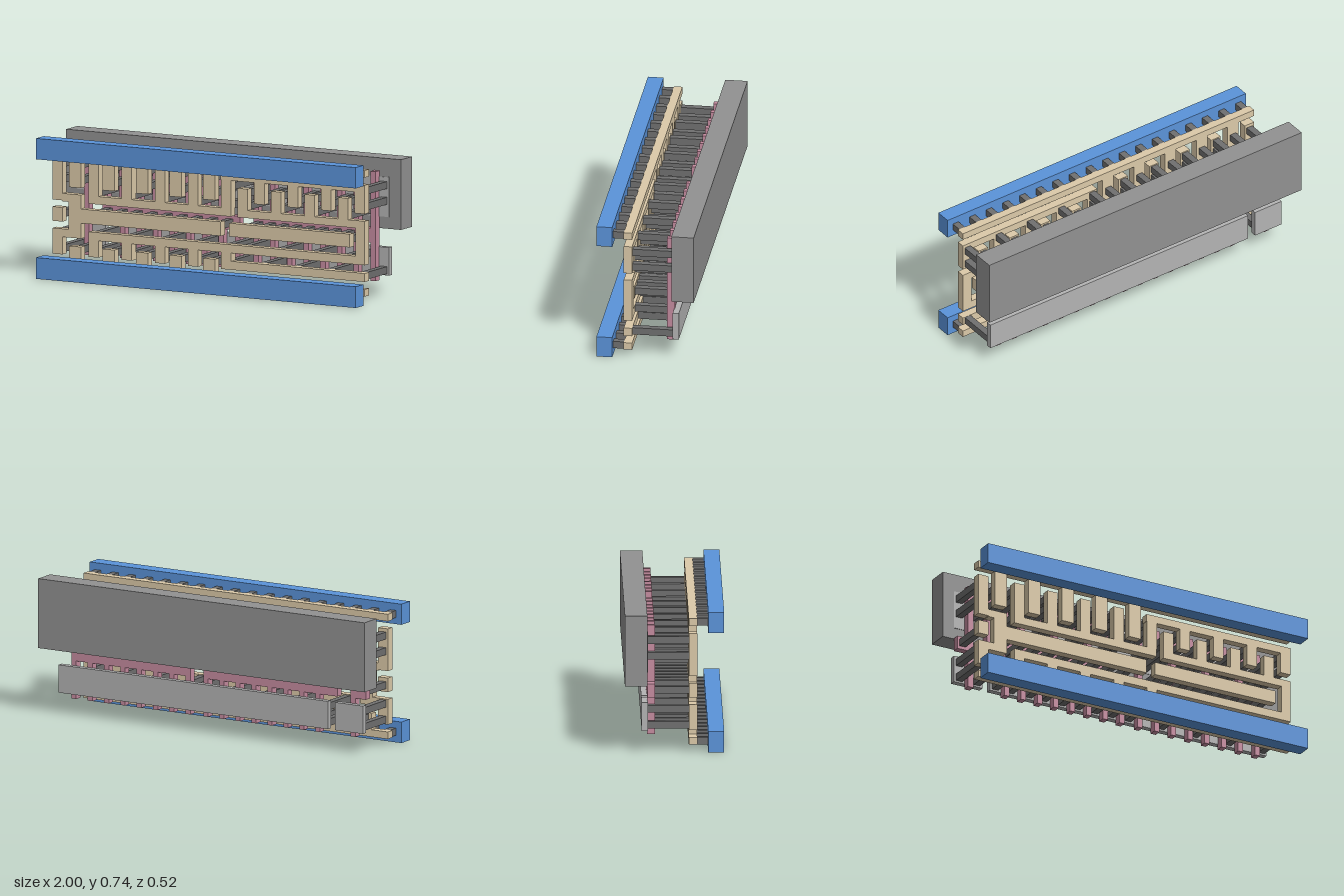
import * as THREE from 'three';

const colors = { metal: 0x5b94da, local: 0xdccaa9, poly: 0xc68ca0, contact: 0x707070, well: 0x929292, diffusion: 0xb4b4b4 };
const mats = {};
for (const k in colors) mats[k] = new THREE.MeshStandardMaterial({ color: colors[k] });

// Depth range (z) of each layer
const depth = {
  metal: [0.177, 0.26], local: [0.076, 0.12], poly: [-0.14, -0.1],
  well: [-0.257, -0.14], diffusion: [-0.169, -0.137],
};

export function createModel() {
  const root = new THREE.Group();
  const groups = {};
  function box(group, layer, x0, x1, y0, y1, z = depth[layer]) {
    if (!groups[group]) {
      groups[group] = new THREE.Group();
      groups[group].name = group;
      root.add(groups[group]);
    }
    const m = new THREE.Mesh(new THREE.BoxGeometry(x1 - x0, y1 - y0, z[1] - z[0]), mats[layer]);
    m.position.set((x0 + x1) / 2, (y0 + y1) / 2, (z[0] + z[1]) / 2);
    m.name = group;
    groups[group].add(m);
  }
  // Vertical bar around a centre line
  const post = (group, layer, x, w, y0, y1) => box(group, layer, x - w / 2, x + w / 2, y0, y1);
  const contact = (group, x, y, z0, z1) =>
    box(group, 'contact', x - 0.018, x + 0.018, y - 0.019, y + 0.019, [z0, z1]);
  const toDiffusion = (x, ...ys) => ys.forEach((y) => contact('diffusionContact', x, y, -0.137, 0.076));
  const toPoly = (x) => contact('gateContact', x, 0.324, -0.1, 0.076);

  // Front power rails, their rear strips and the pegs between
  box('powerRail', 'metal', -0.955, 0.955, 0, 0.112);
  box('powerRail', 'metal', -0.955, 0.955, 0.63, 0.74);
  box('railStrip', 'local', -0.935, 0.93, 0.038, 0.076);
  box('railStrip', 'local', -0.935, 0.93, 0.665, 0.703);
  for (let i = 0; i < 18; i++) {
    const x = -0.905 + i * 0.1064;
    contact('railPeg', x, 0.057, 0.12, 0.177);
    contact('railPeg', x, 0.684, 0.12, 0.177);
  }

  // Back slab and the thin plates
  box('backSlab', 'well', -1, 1, 0.358, 0.728);
  for (const [a, b] of [[-0.935, -0.765], [-0.72, 0.93]]) {
    box('lowerPlate', 'diffusion', a, b, 0.112, 0.26);
    box('upperPlate', 'diffusion', a, b, 0.42, 0.63);
  }

  // Output path at the left end of the front
  post('outputPath', 'local', -0.905, 0.06, 0.4, 0.625);
  post('outputPath', 'local', -0.905, 0.06, 0.115, 0.25);
  box('outputPath', 'local', -0.875, -0.84, 0.395, 0.437);
  box('outputPath', 'local', -0.875, -0.84, 0.207, 0.25);
  box('outputPath', 'local', -0.84, -0.765, 0.207, 0.437);
  box('inputBar', 'local', -0.765, 0.07, 0.288, 0.363);
  box('inputBar', 'local', 0.12, 0.84, 0.29, 0.36);
  box('inputStub', 'local', -0.935, -0.875, 0.288, 0.363);
  toDiffusion(-0.905, 0.14, 0.225, 0.505, 0.588);

  // Fingers reaching from the rail strips
  for (const x of [-0.8, -0.6, -0.4, -0.2, 0]) {
    post('railFinger', 'local', x, 0.07, 0.473, 0.665);
    post('railFinger', 'local', x, 0.07, 0.076, 0.163);
    toDiffusion(x, 0.14, 0.505, 0.588);
  }

  // Left comb, upper and lower
  box('leftComb', 'local', -0.72, 0.13, 0.395, 0.437);
  box('lowerComb', 'local', -0.72, 0.875, 0.203, 0.247);
  for (let i = 0; i < 5; i++) {
    const x = -0.69 + i * 0.198;
    post('leftComb', 'local', x, 0.06, 0.437, 0.625);
    post('lowerComb', 'local', x, 0.06, 0.115, 0.203);
    toDiffusion(x, 0.14, 0.225, 0.45, 0.547, 0.6);
  }

  // Right interlocking combs
  box('hangingComb', 'local', 0.07, 0.93, 0.585, 0.625);
  box('risingComb', 'local', 0.17, 0.93, 0.395, 0.435);
  box('rightColumn', 'local', 0.875, 0.93, 0.203, 0.395);
  box('lowerBar', 'local', 0.13, 0.93, 0.115, 0.16);
  for (let i = 0; i < 4; i++) {
    const up = 0.2 + i * 0.2, down = 0.3 + i * 0.2;
    post('risingComb', 'local', up, 0.06, 0.435, 0.548);
    post('hangingComb', 'local', down, 0.06, 0.473, 0.585);
    toDiffusion(up, 0.225, 0.45, 0.52);
    toDiffusion(down, 0.14, 0.505, 0.588);
  }

  // Gate posts and the strips that join them
  post('gatePost', 'poly', -0.856, 0.032, 0.083, 0.66);
  box('gateStrip', 'poly', -0.935, -0.84, 0.288, 0.36);
  for (let i = 0; i < 8; i++) {
    post('gatePost', 'poly', -0.745 + i * 0.099, 0.03, 0.36, 0.66);
    post('gatePost', 'poly', -0.64 + i * 0.098, 0.03, 0.083, 0.3);
    post('gatePost', 'poly', 0.155 + i * 0.1, 0.03, 0.083, 0.66);
  }
  box('gateStrip', 'poly', -0.76, -0.037, 0.285, 0.395);
  box('gateStrip', 'poly', -0.037, 0.06, 0.285, 0.36);
  box('gateStrip', 'poly', 0.14, 0.87, 0.285, 0.36);
  toPoly(-0.905);
  for (let i = 0; i < 9; i++) {
    toPoly(-0.72 + i * 0.09);
    toPoly(0.18 + i * 0.078);
  }
  return root;
}
